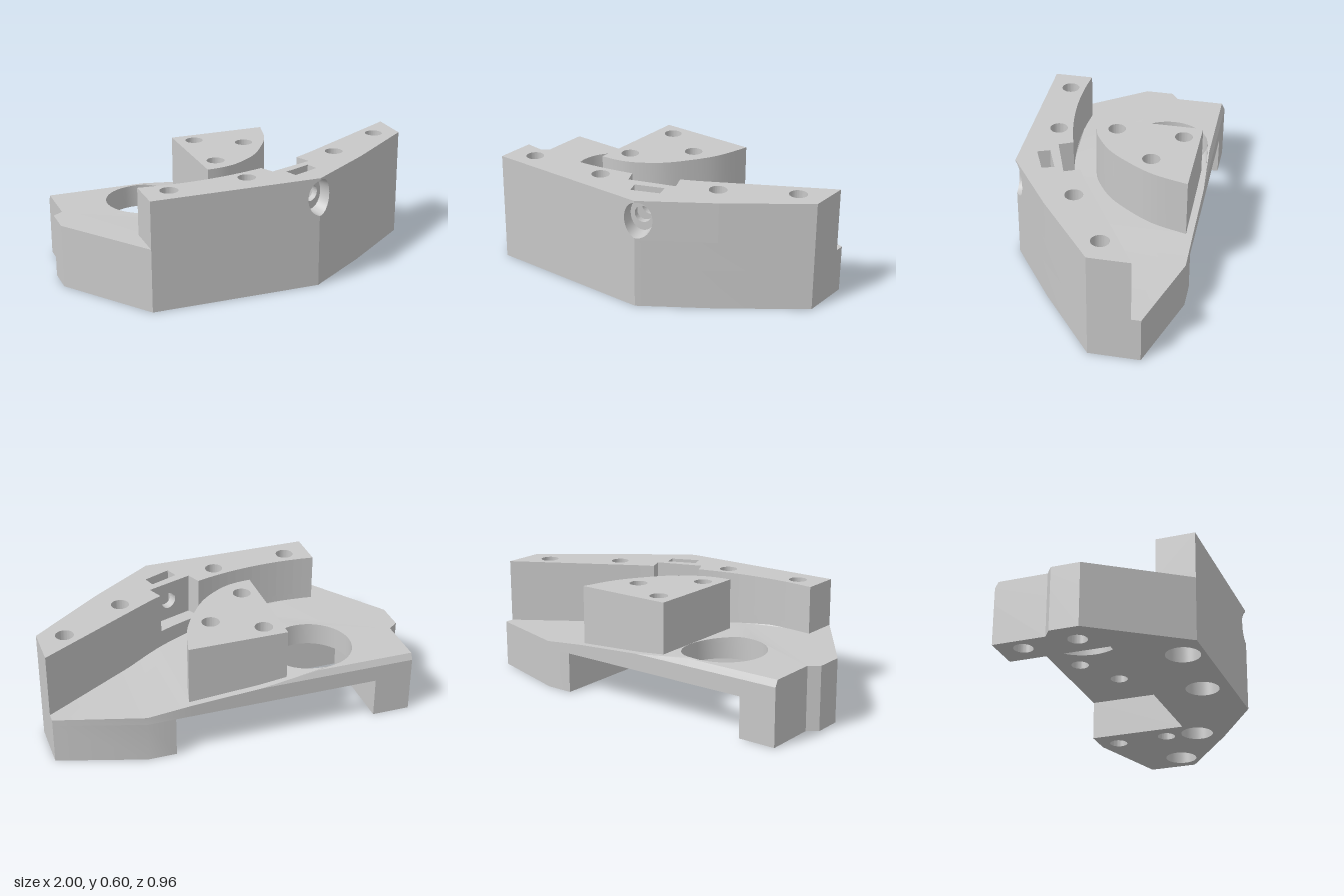
import * as THREE from 'three';
import { toCreasedNormals } from 'three/addons/utils/BufferGeometryUtils.js';

const UNDER = 0.22;   // pocket ceiling
const LEDGE = 0.38;   // bottom of the notch and slot
const TOP = 0.602;

// Curved inner edge of the raised wall: an arc that runs into a straight line
const innerZ = x => x < 0.4
  ? 0.285 - 1.66 + Math.sqrt(1.66 ** 2 - (x + 0.43) ** 2)
  : 0.0626 - 0.579 * (x - 0.4);

// Inner edge from x0 down to x1, sampled on a shared grid so that parts meet
function innerEdge(x0, x1) {
  const xs = [x0];
  for (let k = 19; k > -20; k--) {
    const x = k * 0.05;
    if (x < x0 - 0.005 && x > x1 + 0.005) xs.push(x);
  }
  return [...xs, x1].map(x => [x, innerZ(x)]);
}

// Height of the gently falling floor
const floorPts = [[-2, 0.345], [-0.41, 0.345], [-0.225, 0.326], [-0.08, 0.31], [0.3, 0.285], [0.53, 0.262], [1, 0.255]];
function floorY(x) {
  const i = Math.max(1, floorPts.findIndex(p => p[0] >= x - 1e-6));
  const [a, b] = [floorPts[i - 1], floorPts[i]];
  return a[1] + (b[1] - a[1]) * (x - a[0]) / (b[0] - a[0]);
}

// Plan shape from [x, z] points, with round holes [x, z, r]
function plan(pts, holes = []) {
  const shape = new THREE.Shape(pts.map(([x, z]) => new THREE.Vector2(x, -z)));
  for (const [x, z, r] of holes) shape.holes.push(new THREE.Path().absarc(x, -z, r, 0, Math.PI * 2, false));
  return shape;
}

function slab(shape, y0, y1, steps = 1) {
  return new THREE.ExtrudeGeometry(shape, { depth: y1 - y0, steps, bevelEnabled: false, curveSegments: 24 })
    .rotateX(-Math.PI / 2).translate(0, y0, 0);
}

// Upright face from plan point a to b, drawn by a shape in (distance, height)
function panel(a, b, makeShape) {
  const X = new THREE.Vector3(b[0] - a[0], 0, b[1] - a[1]);
  const L = X.length();
  X.normalize();
  const Y = new THREE.Vector3(0, 1, 0), Z = X.clone().cross(Y);
  const m = new THREE.Matrix4().makeBasis(X, Y, Z).setPosition(a[0], 0, a[1]);
  return new THREE.ShapeGeometry(makeShape(L), 24).applyMatrix4(m);
}
const polygon = pts => new THREE.Shape(pts.map(p => new THREE.Vector2(...p)));
const plainFace = L => polygon([[0, LEDGE], [L, LEDGE], [L, TOP], [0, TOP]]);

// Screw bore across the front corner
const corner = [0.26, 0.479];
const bore = { c: 0.012, rx: 0.076, ry: 0.1, y: 0.492, r: 0.045, n: [0.296, 0.955], t: [0.955, -0.296] };
const split = Math.acos(-bore.c / bore.rx);
function rimArc(from, to, offset) {
  const pts = [];
  for (let i = 0; i <= 20; i++) {
    const q = from + (to - from) * i / 20;
    pts.push([offset + (bore.c + bore.rx * Math.cos(q)) / 0.955, bore.y + bore.ry * Math.sin(q)]);
  }
  return pts;
}
const frontFace = L => polygon([[0, LEDGE], [L, LEDGE],
  ...rimArc(2 * Math.PI - split, split, L), [L, TOP], [0, TOP]]);
const slantFace = L => polygon([[0, LEDGE], [L, LEDGE], [L, TOP], [0, TOP], ...rimArc(split, -split, 0)]);
const drilledFace = u => L => {
  const s = plainFace(L);
  s.holes.push(new THREE.Path().absarc(u, bore.y, bore.r, 0, Math.PI * 2, true));
  return s;
};

// Inside of the bore, lofted through rings [rx, ry, depth]; no depth means on the front faces
function boreGeometry(rings) {
  const N = 48, pos = [], idx = [];
  for (const [rx, ry, depth] of rings) {
    for (let i = 0; i < N; i++) {
      const q = i / N * Math.PI * 2, u = bore.c + rx * Math.cos(q);
      const d = depth ?? Math.abs(u) * 0.31;
      pos.push(corner[0] + bore.t[0] * u - bore.n[0] * d, bore.y + ry * Math.sin(q),
        corner[1] + bore.t[1] * u - bore.n[1] * d);
    }
  }
  for (let k = 0; k < rings.length - 1; k++) {
    for (let i = 0; i < N; i++) {
      const a = k * N + i, b = k * N + (i + 1) % N;
      idx.push(a, b, b + N, a, b + N, a + N);
    }
  }
  const g = new THREE.BufferGeometry();
  g.setAttribute('position', new THREE.Float32BufferAttribute(pos, 3));
  g.setIndex(idx);
  return g;
}

export function createModel() {
  const model = new THREE.Group();
  model.name = 'mountingBracket';
  const grey = new THREE.MeshStandardMaterial({ color: 0xc8c8c8 });
  grey.name = 'grey';
  const add = (name, geometry, parent = model) => {
    const mesh = new THREE.Mesh(toCreasedNormals(geometry, 0.4), grey);
    mesh.name = name;
    parent.add(mesh);
  };

  const wallHoles = [[0.86, -0.103], [0.51, 0.107], [-0.09, 0.328], [-0.525, 0.363]];
  const blindHoles = [[0.51, -0.37], [0.497, -0.073], [-0.866, -0.06], [-0.859, -0.35]];
  const blockHoles = [[-0.135, -0.353], [0.11, -0.218], [-0.145, 0.016]].map(p => [...p, 0.048]);
  const thinHoles = wallHoles.map(p => [...p, 0.048]);
  const leftEnd = [[-0.662, 0.479], [-1, 0], [-1, -0.155], [-0.945, -0.195]];
  const outer = [[-0.662, 0.479], corner, [0.61, 0.238], [1, -0.063]];

  // Lower body with the pocket open to the back, counterbores and blind holes
  add('lowerBody', slab(plan([
    [-0.945, -0.48], [-0.737, -0.48], [-0.737, 0.06], [0.385, 0.06], [0.385, -0.48], [0.537, -0.48],
    [1, -0.335], [1, -0.063], [0.61, 0.238], corner, ...leftEnd,
  ], [...wallHoles.map(p => [...p, 0.09]), ...blindHoles.map(p => [...p, 0.05])]), 0, UNDER));

  // Floor in strips, with the top lowered by rule and the back edge chamfered
  const floor = new THREE.Group();
  floor.name = 'floor';
  model.add(floor);
  const strip = (x0, x1, back, end, holes) => {
    const g = slab(plan([...back, ...innerEdge(x1, x0), ...end], holes), UNDER, 0.345, 2);
    const p = g.attributes.position;
    for (let i = 0; i < p.count; i++) {
      const x = p.getX(i), y = p.getY(i), f = floorY(x);
      if (y > 0.34) {
        p.setY(i, f);
        if (p.getZ(i) < -0.479) p.setZ(i, -0.48 + 0.5 * Math.max(0, f - 0.31));
      } else if (y > 0.25) p.setY(i, Math.min(0.31, f - 0.005));
    }
    add('floorStrip', g, floor);
  };
  strip(-0.662, -0.225, [[-0.945, -0.48], [-0.41, -0.48], [-0.225, -0.48]], leftEnd, [[-0.46, -0.221, 0.224]]);
  strip(-0.225, -0.08, [[-0.225, -0.48], [-0.08, -0.48]], [], [blockHoles[0], blockHoles[2]]);
  strip(-0.08, 0.3, [[-0.08, -0.48], [0.3, -0.48]], [], [blockHoles[1]]);
  strip(0.3, 1, [[0.3, -0.48], [0.537, -0.48], [1, -0.335]], [], []);

  // Quarter-round block with three holes
  const curve = new THREE.SplineCurve([[0.303, -0.443], [0.25, -0.255], [0.165, -0.105], [0.07, 0.015],
    [-0.05, 0.1], [-0.14, 0.132], [-0.235, 0.142]].map(p => new THREE.Vector2(...p)));
  add('centreBlock', slab(plan([[-0.235, -0.443], ...curve.getPoints(30).map(v => [v.x, v.y])],
    blockHoles), 0.25, TOP));

  // Wall below the notch
  add('wallLower', slab(plan([...outer, ...innerEdge(1, -0.662)], thinHoles), UNDER, LEDGE));

  // Wall above, built as faces around the notch, slot and bore
  const wall = new THREE.Group();
  wall.name = 'wallUpper';
  model.add(wall);
  const notch = [[0.315, 0.207], [0.07, 0.292]];
  const slot = [[0.305, 0.327], [0.16, 0.387], [0.135, 0.322], [0.285, 0.262]];
  const outline = [...outer, ...innerEdge(1, 0.28), ...notch, ...innerEdge(0.035, -0.662)];
  const topShape = plan(outline, thinHoles);
  topShape.holes.push(new THREE.Path(slot.map(([x, z]) => new THREE.Vector2(x, -z))));
  add('wallTop', new THREE.ShapeGeometry(topShape, 24).rotateX(-Math.PI / 2).translate(0, TOP, 0), wall);
  outline.forEach((a, i) => {
    const face = i === 0 ? frontFace : i === 1 ? slantFace : a === notch[0] ? drilledFace(0.122) : plainFace;
    add('wallSide', panel(a, outline[(i + 1) % outline.length], face), wall);
  });
  const slotFaces = [drilledFace(0.076), plainFace, drilledFace(0.085), plainFace];
  slot.forEach((a, i) => add('slotSide', panel(a, slot[(i + 1) % 4], slotFaces[i]), wall));
  for (const [x, z, r] of thinHoles) {
    add('holeLining', new THREE.CylinderGeometry(r, r, TOP - LEDGE, 48, 1, true)
      .scale(-1, 1, 1).translate(x, (TOP + LEDGE) / 2, z), wall);
  }
  const { rx, ry, r } = bore;
  add('screwBore', boreGeometry([[rx, ry, null], [0.068, 0.09, 0.09], [r, r, 0.09], [r, r, 0.124]]), wall);
  add('screwBoreInner', boreGeometry([[r, r, 0.192], [r, r, 0.238]]), wall);

  return model;
}
